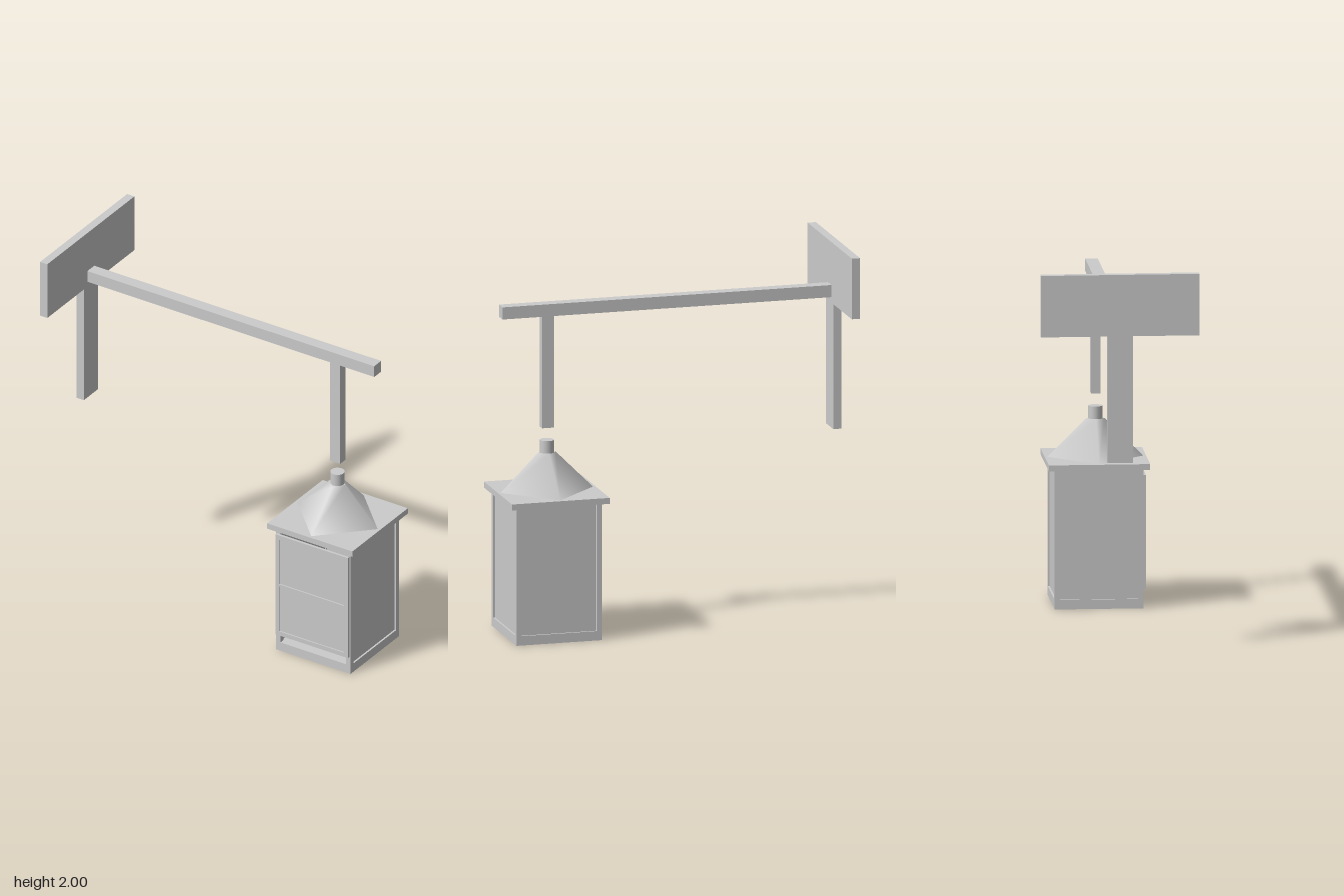
import * as THREE from 'three';

export function createModel() {
  const model = new THREE.Group();
  const grey = new THREE.MeshStandardMaterial({ color: 0xcccccc });
  grey.name = 'plain grey';

  const add = (parent, name, geometry, x, y, z) => {
    const mesh = new THREE.Mesh(geometry, grey);
    mesh.name = name;
    mesh.position.set(x, y, z);
    parent.add(mesh);
    return mesh;
  };
  // Box given by its lower and upper limits on each axis
  const box = (parent, name, [x0, x1], [y0, y1], [z0, z1]) =>
    add(parent, name, new THREE.BoxGeometry(x1 - x0, y1 - y0, z1 - z0),
      (x0 + x1) / 2, (y0 + y1) / 2, (z0 + z1) / 2);

  // Wall bracket, arm and hanger
  const bracket = new THREE.Group();
  bracket.name = 'bracket';
  model.add(bracket);
  box(bracket, 'wallPlate', [-0.925, -0.88], [1.675, 2], [-0.415, 0.415]);
  box(bracket, 'wallPost', [-0.925, -0.88], [1.005, 1.675], [-0.067, 0.067]);
  box(bracket, 'arm', [-0.88, 0.905], [1.705, 1.77], [-0.033, 0.033]);
  box(bracket, 'hanger', [0.624, 0.688], [1.105, 1.705], [-0.025, 0.025]);

  // Lantern, built around its own vertical axis
  const lantern = new THREE.Group();
  lantern.name = 'lantern';
  lantern.position.x = 0.655;
  model.add(lantern);
  const outer = 0.232, inner = 0.204, eaves = 0.736;

  box(lantern, 'base', [-outer, outer], [0, 0.05], [-outer, outer]);
  for (const sx of [-1, 1]) for (const sz of [-1, 1]) {
    const mid = (outer + inner) / 2;
    add(lantern, 'cornerPost', new THREE.BoxGeometry(outer - inner, eaves - 0.05, outer - inner),
      sx * mid, (eaves + 0.05) / 2, sz * mid);
  }

  // Recessed panels on the two sides and the back
  for (const s of [-1, 1]) {
    add(lantern, 'sidePanel', new THREE.BoxGeometry(0.01, eaves - 0.05, inner * 2),
      s * 0.217, (eaves + 0.05) / 2, 0);
  }
  box(lantern, 'backPanel', [-inner, inner], [0.05, eaves], [-0.222, -0.212]);

  // Front door: outer frame, middle rail and two recessed panes
  const door = new THREE.Group();
  door.name = 'door';
  lantern.add(door);
  const depth = [0.232, 0.246];
  for (const s of [-1, 1]) {
    add(door, 'doorStile', new THREE.BoxGeometry(0.024, 0.605, 0.014), s * 0.213, 0.4025, 0.239);
  }
  for (const [y0, y1] of [[0.1, 0.125], [0.397, 0.409], [0.68, 0.705]]) {
    box(door, 'doorRail', [-0.201, 0.201], [y0, y1], depth);
  }
  for (const [y0, y1] of [[0.125, 0.397], [0.409, 0.68]]) {
    box(door, 'doorPane', [-0.201, 0.201], [y0, y1], [0.233, 0.239]);
  }

  // Candle inside, seen below the door
  add(lantern, 'candle', new THREE.CylinderGeometry(0.037, 0.037, 0.35, 16), 0, 0.225, 0);

  // Roof: flat slab, softly shaded four-sided hood and a round cap
  box(lantern, 'roofSlab', [-0.265, 0.265], [eaves, 0.768], [-0.265, 0.265]);
  add(lantern, 'roofHood', new THREE.CylinderGeometry(0.048, 0.25, 0.202, 4), 0, 0.869, 0);
  add(lantern, 'roofCap', new THREE.CylinderGeometry(0.038, 0.038, 0.067, 16), 0, 1.0035, 0);

  return model;
}
